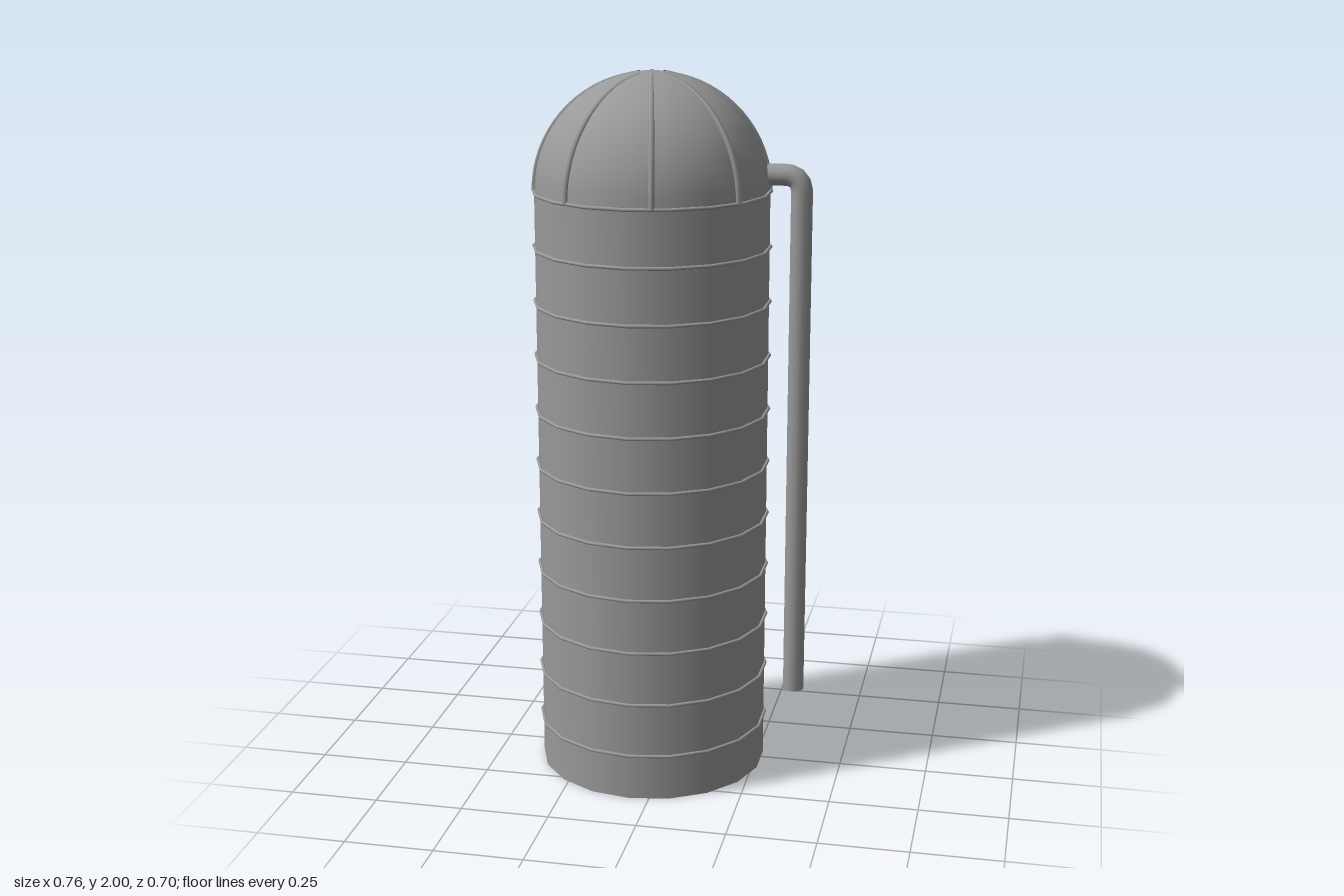
import * as THREE from 'three';

const SIDES = 18, R = 0.325, WALL_TOP = 1.675, DOME_H = 0.325;
const CX = -0.055, CZ = 0.017;

export function createModel() {
  const model = new THREE.Group();
  model.name = 'silo';
  const mat = new THREE.MeshStandardMaterial({ color: 0x999999 });
  const thin = new THREE.MeshStandardMaterial({ color: 0x999999, side: THREE.DoubleSide });

  const add = (parent, name, geometry, x = 0, y = 0, z = 0, material = mat) => {
    const mesh = new THREE.Mesh(geometry, material);
    mesh.name = name;
    mesh.position.set(x, y, z);
    parent.add(mesh);
    return mesh;
  };

  // Tower: open wall, dome, hoops and ribs share one axis
  const tower = new THREE.Group();
  tower.name = 'tower';
  tower.position.set(CX, 0, CZ);
  model.add(tower);

  add(tower, 'wall', new THREE.CylinderGeometry(R, R, WALL_TOP, SIDES, 1, true), 0, WALL_TOP / 2, 0, thin);

  const domePoint = (a, grow = 0) =>
    new THREE.Vector2((R + grow) * Math.cos(a), (DOME_H + grow) * Math.sin(a));
  const profile = [];
  for (let i = 0; i <= 14; i++) profile.push(domePoint((i / 14) * Math.PI / 2));
  profile[14].x = 0;
  add(tower, 'dome', new THREE.LatheGeometry(profile, SIDES), 0, WALL_TOP, 0, thin);

  // Evenly spaced hoops around the wall
  const hoop = new THREE.TorusGeometry(R + 0.003, 0.005, 8, SIDES);
  hoop.rotateZ(Math.PI / 2).rotateX(Math.PI / 2);
  for (let i = 0; i < 11; i++) add(tower, 'hoop', hoop, 0, 0.13 + i * 0.1545, 0);

  // Eight ribs running up the dome, sinking into it towards the crown
  const ribPath = [];
  for (let i = 0; i <= 10; i++) {
    const p = domePoint((i / 10) * 1.42, -0.001 - 0.004 * i / 10);
    ribPath.push(new THREE.Vector3(p.x, p.y, 0));
  }
  const rib = new THREE.TubeGeometry(new THREE.CatmullRomCurve3(ribPath), 16, 0.008, 6);
  for (let i = 0; i < 8; i++) {
    add(tower, 'domeRib', rib, 0, WALL_TOP, 0, thin).rotation.y = THREE.MathUtils.degToRad(12 + i * 45);
  }

  // Filler pipe: leaves the dome, bends and drops down the side
  const v = (x, y) => new THREE.Vector3(x, y, -0.042);
  const pipePath = new THREE.CurvePath();
  pipePath.add(new THREE.LineCurve3(v(0.23, 1.72), v(0.305, 1.72)));
  pipePath.add(new THREE.QuadraticBezierCurve3(v(0.305, 1.72), v(0.352, 1.72), v(0.352, 1.67)));
  pipePath.add(new THREE.LineCurve3(v(0.352, 1.67), v(0.352, 0.21)));
  add(model, 'fillerPipe', new THREE.TubeGeometry(pipePath, 90, 0.03, 14), 0, 0, 0, thin);
  const cap = new THREE.CircleGeometry(0.03, 14).rotateX(Math.PI / 2);
  add(model, 'pipeEnd', cap, 0.352, 0.21, -0.042);

  // Ladder on the back
  const ladder = new THREE.Group();
  ladder.name = 'ladder';
  ladder.position.set(CX, 0, -0.346);
  model.add(ladder);
  const rail = new THREE.CylinderGeometry(0.003, 0.003, 1.66, 6);
  const bracket = new THREE.CylinderGeometry(0.003, 0.003, 0.045, 6).rotateX(Math.PI / 2);
  for (const s of [-1, 1]) {
    add(ladder, 'rail', rail, s * 0.039, 0.88, 0);
    add(ladder, 'topBracket', bracket, s * 0.039, 1.708, 0.021);
  }
  const rung = new THREE.CylinderGeometry(0.002, 0.002, 0.08, 6).rotateZ(Math.PI / 2);
  for (let i = 0; i < 37; i++) add(ladder, 'rung', rung, 0, 0.075 + i * 0.045, 0);

  // Two slats form the landing at the top of the ladder
  const slat = new THREE.BoxGeometry(0.09, 0.004, 0.015);
  add(ladder, 'landingSlat', slat, 0, 1.709, 0.013);
  add(ladder, 'landingSlat', slat, 0, 1.709, 0.032).rotation.y = -0.05;

  return model;
}
